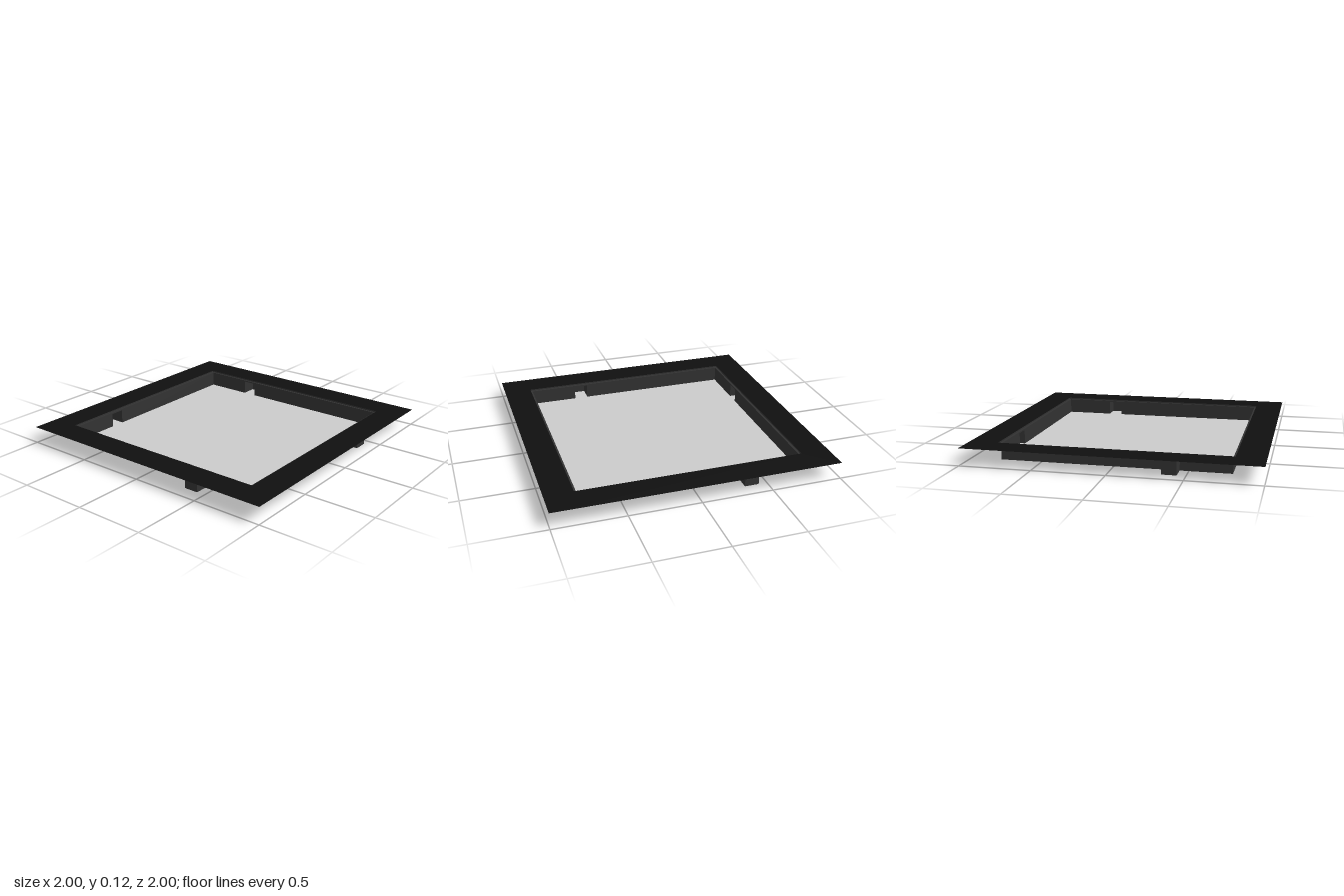
import * as THREE from 'three';

const material = (color) => new THREE.MeshStandardMaterial({ color, side: THREE.DoubleSide });

const INNER = 0.785, LIP = 0.8, OUTER = 1, TAB_END = 0.9;
const WALL_TOP = 0.11, TOP = 0.12, TAB_TOP = 0.1;
const TAB_X = 0.39, TAB_HALF = 0.05;

// Flat shape from corner points, with an optional hole
function flat(points, hole) {
  const toVectors = (list) => list.map(([x, y]) => new THREE.Vector2(x, y));
  const shape = new THREE.Shape(toVectors(points));
  if (hole) shape.holes.push(new THREE.Path(toVectors(hole)));
  return new THREE.ShapeGeometry(shape);
}

const square = (r) => [[-r, -r], [r, -r], [r, r], [-r, r]];

export function createModel() {
  const model = new THREE.Group();
  model.name = 'recessedTray';
  const black = material(0x101010);
  const dark = material(0x323232);
  const grey = material(0xcccccc);

  const add = (parent, name, geometry, mat) => {
    const mesh = new THREE.Mesh(geometry, mat);
    mesh.name = name;
    parent.add(mesh);
    return mesh;
  };
  const level = (geometry, y) => geometry.rotateX(-Math.PI / 2).translate(0, y, 0);

  // Horizontal surfaces: floor, step below the rim, thin flange
  add(model, 'floor', level(flat(square(INNER)), 0), grey);
  add(model, 'rimStep', level(flat(square(LIP), square(INNER)), WALL_TOP), dark);
  add(model, 'flange', level(flat(square(OUTER), square(LIP)), TOP), black);

  // Four identical sides, each with one hollow tab opening into the tray
  const a = TAB_X - TAB_HALF, b = TAB_X + TAB_HALF;
  const depth = TAB_END - INNER, middle = (TAB_END + INNER) / 2;
  for (let i = 0; i < 4; i++) {
    const side = new THREE.Group();
    side.name = 'side' + (i + 1);
    side.rotation.y = i * Math.PI / 2;
    model.add(side);

    // Wall notched where the tab meets it
    const wall = flat([
      [-INNER, 0], [a, 0], [a, TAB_TOP], [b, TAB_TOP], [b, 0],
      [INNER, 0], [INNER, WALL_TOP], [-INNER, WALL_TOP],
    ]);
    add(side, 'wall', wall.translate(0, 0, INNER), dark);

    // Short upright strip joining the step to the flange
    const strip = new THREE.PlaneGeometry(2 * LIP, TOP - WALL_TOP);
    add(side, 'rimEdge', strip.translate(0, (TOP + WALL_TOP) / 2, LIP), dark);

    // Tab shell
    const end = new THREE.PlaneGeometry(2 * TAB_HALF, TAB_TOP);
    add(side, 'tabEnd', end.translate(TAB_X, TAB_TOP / 2, TAB_END), dark);
    for (const s of [-1, 1]) {
      const cheek = new THREE.PlaneGeometry(depth, TAB_TOP).rotateY(s * Math.PI / 2);
      add(side, 'tabCheek', cheek.translate(TAB_X + s * TAB_HALF, TAB_TOP / 2, middle), dark);
    }
    for (const [name, y, mat] of [['tabRoof', TAB_TOP, dark], ['tabFloor', 0, grey]]) {
      const plate = level(new THREE.PlaneGeometry(2 * TAB_HALF, depth), y);
      add(side, name, plate.translate(TAB_X, 0, middle), mat);
    }
  }
  return model;
}
